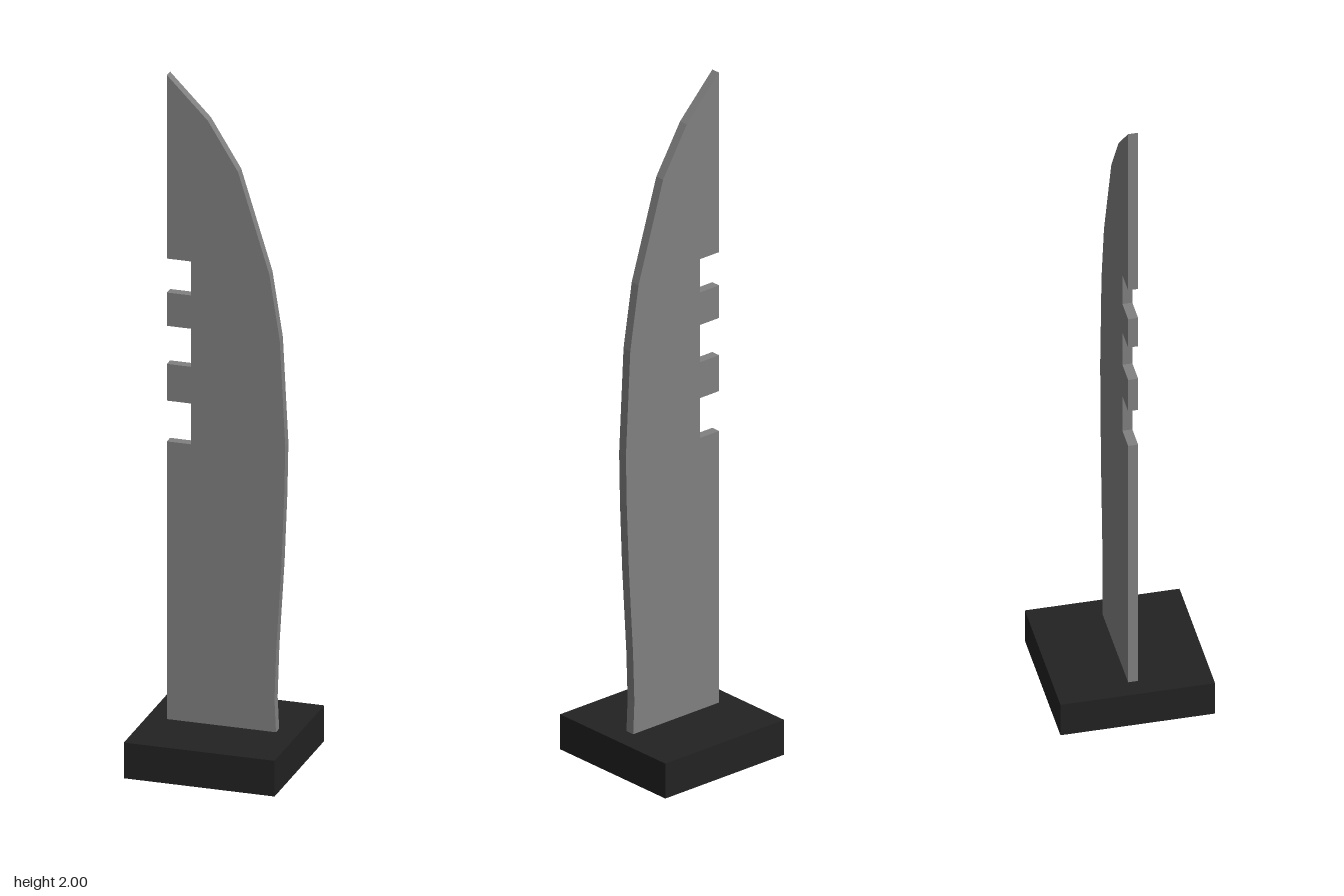
import * as THREE from 'three';

export function createModel() {
  const model = new THREE.Group();
  const steel = new THREE.MeshStandardMaterial({ color: 0x808080 });
  steel.name = 'steel grey';
  const black = new THREE.MeshStandardMaterial({ color: 0x222222 });
  black.name = 'black';

  // square stand
  const height = 0.105;
  const base = new THREE.Mesh(new THREE.BoxGeometry(0.434, height, 0.434), black);
  base.name = 'base';
  base.position.y = height / 2;
  model.add(base);

  // curved cutting edge, from the stand up to the tip
  const spine = -0.16, notchDepth = 0.07, thickness = 0.028;
  const outline = [
    [spine, 0.09], [0.155, 0.09], [0.15, 0.2], [0.155, 0.35], [0.17, 0.6], [0.178, 0.8],
    [0.181, 0.95], [0.165, 1.26], [0.135, 1.45], [0.045, 1.74], [-0.042, 1.88], [spine, 2],
  ];
  // square notches down the straight spine
  for (const [top, bottom] of [[1.46, 1.36], [1.262, 1.15], [1.042, 0.922]]) {
    outline.push([spine, top], [spine + notchDepth, top], [spine + notchDepth, bottom], [spine, bottom]);
  }
  const shape = new THREE.Shape(outline.map(([x, y]) => new THREE.Vector2(x, y)));
  const bladeGeometry = new THREE.ExtrudeGeometry(shape, { depth: thickness, bevelEnabled: false });
  bladeGeometry.translate(0, 0, -thickness / 2);
  const blade = new THREE.Mesh(bladeGeometry, steel);
  blade.name = 'blade';
  model.add(blade);

  return model;
}
